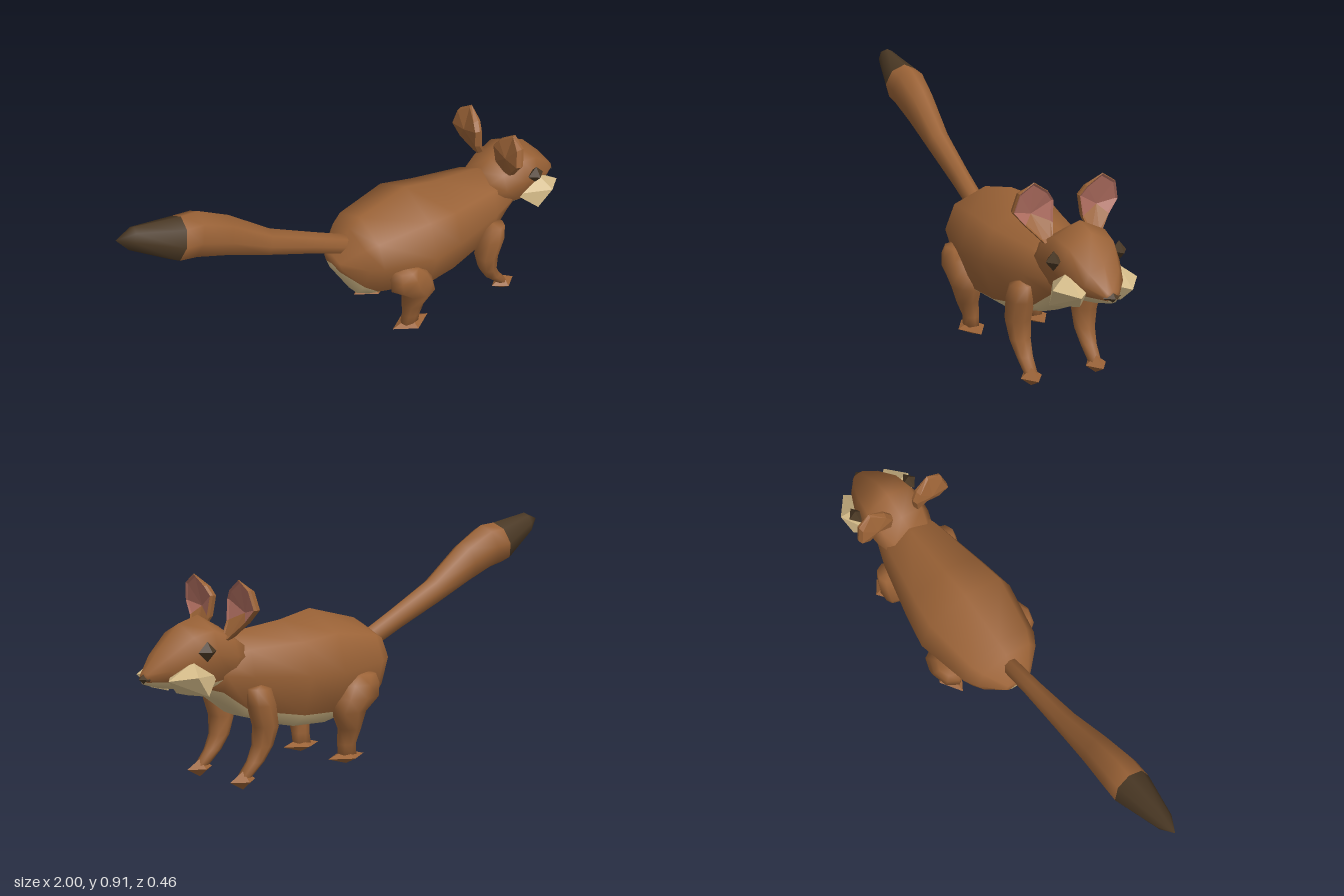
import * as THREE from 'three';
import { ConvexGeometry } from 'three/addons/geometries/ConvexGeometry.js';

const colour = (name, hex) => {
  const m = new THREE.MeshStandardMaterial({ color: hex });
  m.name = name;
  return m;
};

// Skins a row of closed rings, with pointed caps; pick(segment, side) gives the material index.
// Segment -1 is the start cap and the last segment is the end cap.
function loft(rings, start, end, pick = () => 0, mirror = false) {
  const n = rings[0].length, last = rings.length - 1;
  const points = [...rings.flat(), start, end];
  const s = rings.length * n, e = s + 1;
  const faces = [[], []];
  const add = (m, a, b, c) => faces[m].push(...(mirror ? [a, c, b] : [a, b, c]));
  for (let i = 0; i < n; i++) {
    const k = (i + 1) % n;
    add(pick(-1, i), s, k, i);
    for (let j = 0; j < last; j++) {
      const a = j * n + i, b = j * n + k;
      add(pick(j, i), a, b, b + n);
      add(pick(j, i), a, b + n, a + n);
    }
    add(pick(last, i), e, last * n + i, last * n + k);
  }
  const g = new THREE.BufferGeometry();
  const flip = mirror ? -1 : 1;
  g.setAttribute('position', new THREE.Float32BufferAttribute(points.flatMap(([x, y, z]) => [x, y, z * flip]), 3));
  g.setIndex([...faces[0], ...faces[1]]);
  g.addGroup(0, faces[0].length, 0);
  g.addGroup(faces[0].length, faces[1].length, 1);
  g.computeVertexNormals();
  return g;
}

// Oval ring facing direction (dx, dy)
function oval([x, y, z, r, rz], dx, dy, sides = 8) {
  return Array.from({ length: sides }, (_, i) => {
    const a = (i / sides) * Math.PI * 2;
    const u = r * Math.cos(a);
    return [x - dy * u, y + dx * u, z + rz * Math.sin(a)];
  });
}

// Ten-sided torso section: top, widest, pale line and bottom heights, half width
function torsoRing([x, top, mid, pale, bottom, w]) {
  const half = [
    [0.77 * w, mid + 0.64 * (top - mid)], [w, mid],
    [0.76 * w, pale], [0.4 * w, bottom + 0.12 * (pale - bottom)],
  ];
  return [[x, top, 0], ...half.map(([z, y]) => [x, y, z]),
    [x, bottom, 0], ...half.reverse().map(([z, y]) => [x, y, -z])];
}

export function createModel() {
  const model = new THREE.Group();
  model.name = 'animal';
  const fur = colour('brown fur', 0x9a6236);
  const cream = colour('cream fur', 0xd2b987);
  const dark = colour('dark brown', 0x4a3824);
  const pink = colour('ear pink', 0xb06e60);

  const part = (name, geometry, material, position) => {
    const mesh = new THREE.Mesh(geometry, material);
    mesh.name = name;
    if (position) mesh.position.set(...position);
    model.add(mesh);
    return mesh;
  };
  const underside = (j, i) => (i >= 3 && i <= 6 ? 1 : 0);

  // Body with pale belly
  const body = [
    [-0.105, 0.42, 0.39, 0.37, 0.35, 0.06],
    [-0.03, 0.52, 0.4, 0.3, 0.23, 0.14],
    [0.02, 0.55, 0.4, 0.27, 0.215, 0.17],
    [0.24, 0.605, 0.385, 0.235, 0.175, 0.215],
    [0.38, 0.575, 0.385, 0.235, 0.178, 0.19],
    [0.6, 0.55, 0.4, 0.275, 0.245, 0.14],
    [0.7, 0.5, 0.41, 0.35, 0.315, 0.105],
    [0.77, 0.46, 0.41, 0.37, 0.355, 0.07],
  ].map(torsoRing);
  part('body', loft(body, [-0.11, 0.385, 0], [0.78, 0.4, 0], underside), [fur, cream]);

  // Head with pale chin
  const head = [
    [0.6, 0.53, 0.47, 0.42, 0.38, 0.1],
    [0.66, 0.575, 0.48, 0.405, 0.355, 0.122],
    [0.75, 0.625, 0.495, 0.395, 0.35, 0.13],
    [0.83, 0.602, 0.485, 0.405, 0.365, 0.115],
    [0.92, 0.515, 0.45, 0.41, 0.382, 0.075],
    [0.98, 0.443, 0.425, 0.41, 0.4, 0.026],
  ].map(torsoRing);
  part('head', loft(head, [0.59, 0.45, 0], [0.985, 0.42, 0], underside), [fur, cream]);

  // Nose
  part('nose', new THREE.OctahedronGeometry(1).scale(0.025, 0.023, 0.035), dark, [0.975, 0.42, 0]);

  // Tail with dark tip
  const tail = [
    [-0.03, 0.445, 0, 0.042, 0.033],
    [-0.2, 0.525, 0, 0.046, 0.036],
    [-0.4, 0.618, 0, 0.055, 0.046],
    [-0.58, 0.725, 0, 0.083, 0.062],
    [-0.7, 0.782, 0, 0.092, 0.074],
    [-0.77, 0.793, 0, 0.087, 0.075],
    [-0.94, 0.865, 0, 0.046, 0.034],
  ].map((r) => oval(r, -0.95, 0.3));
  part('tail', loft(tail, [-0.02, 0.445, 0], [-1, 0.882, 0], (j) => (j >= 5 ? 1 : 0)), [fur, dark]);

  // Leg sections: x, y, z, half depth, half width
  const hindLeg = [
    [0.12, 0.365, 0.16, 0.055, 0.055],
    [0.135, 0.33, 0.168, 0.085, 0.062],
    [0.15, 0.28, 0.17, 0.098, 0.062],
    [0.188, 0.23, 0.165, 0.073, 0.058],
    [0.172, 0.16, 0.15, 0.044, 0.045],
    [0.175, 0.1, 0.138, 0.038, 0.032],
    [0.17, 0.055, 0.135, 0.042, 0.028],
  ];
  const foreLeg = [
    [0.585, 0.36, 0.137, 0.045, 0.045],
    [0.575, 0.3, 0.137, 0.055, 0.053],
    [0.556, 0.22, 0.135, 0.047, 0.051],
    [0.568, 0.15, 0.132, 0.037, 0.042],
    [0.6, 0.095, 0.131, 0.033, 0.032],
    [0.648, 0.045, 0.13, 0.026, 0.026],
  ];

  // Ear outline (z, y), counter-clockwise seen from the tail
  const earOutline = [
    [0.135, 0.755], [0.19, 0.72], [0.208, 0.65], [0.165, 0.6],
    [0.11, 0.54], [0.075, 0.54], [0.058, 0.6], [0.05, 0.68], [0.075, 0.715],
  ];
  const earX = (y) => 0.632 + 3.6 * (y - 0.66) ** 2;
  const earRing = (size, forward) => earOutline.map(([z, y]) => {
    const yy = 0.655 + (y - 0.655) * size;
    return [earX(yy) + forward * (y > 0.75 ? 0.3 : 1), yy, 0.13 + (z - 0.13) * size];
  });
  const ear = [earRing(0.92, -0.006), earRing(1, 0.012), earRing(0.97, 0.024), earRing(0.88, 0.02)];
  const earPaint = (j, i) => (j >= 2 && (i < 3 || i > 5) ? 1 : 0);

  // Cheek tuft corners
  const cheek = [
    [0.84, 0.48, 0.1], [0.945, 0.42, 0.1], [0.865, 0.432, 0.165], [0.73, 0.42, 0.09],
    [0.81, 0.358, 0.148], [0.84, 0.355, 0.06], [0.9, 0.372, 0.08], [0.9, 0.43, 0.045],
  ];

  for (const side of [1, -1]) {
    const mirror = side < 0;
    const label = mirror ? 'far' : 'near';
    const leg = (name, rings) => {
      const [x, y, z] = rings[0], foot = rings[rings.length - 1];
      part(label + name, loft(rings.map((r) => oval(r, 0, -1)), [x - 0.01, y + 0.01, z],
        [foot[0], foot[1] - 0.01, foot[2]], () => 0, mirror), [fur, fur]);
    };
    leg('HindLeg', hindLeg);
    leg('ForeLeg', foreLeg);
    part(label + 'HindFoot', new THREE.OctahedronGeometry(1).scale(0.087, 0.026, 0.055), fur, [0.175, 0.05, 0.135 * side]);
    part(label + 'ForeFoot', new THREE.OctahedronGeometry(1).scale(0.056, 0.033, 0.042), fur, [0.657, 0.033, 0.132 * side]);

    const earGeometry = loft(ear, [0.628, 0.655, 0.13], [0.638, 0.635, 0.13], earPaint, mirror).toNonIndexed();
    earGeometry.computeVertexNormals();
    part(label + 'Ear', earGeometry, [fur, pink]);

    part(label + 'Eye', new THREE.OctahedronGeometry(1).scale(0.038, 0.036, 0.03), dark, [0.8, 0.512, 0.128 * side]);
    part(label + 'Cheek', new ConvexGeometry(cheek.map(([x, y, z]) => new THREE.Vector3(x, y, z * side))), cream);
  }
  return model;
}
